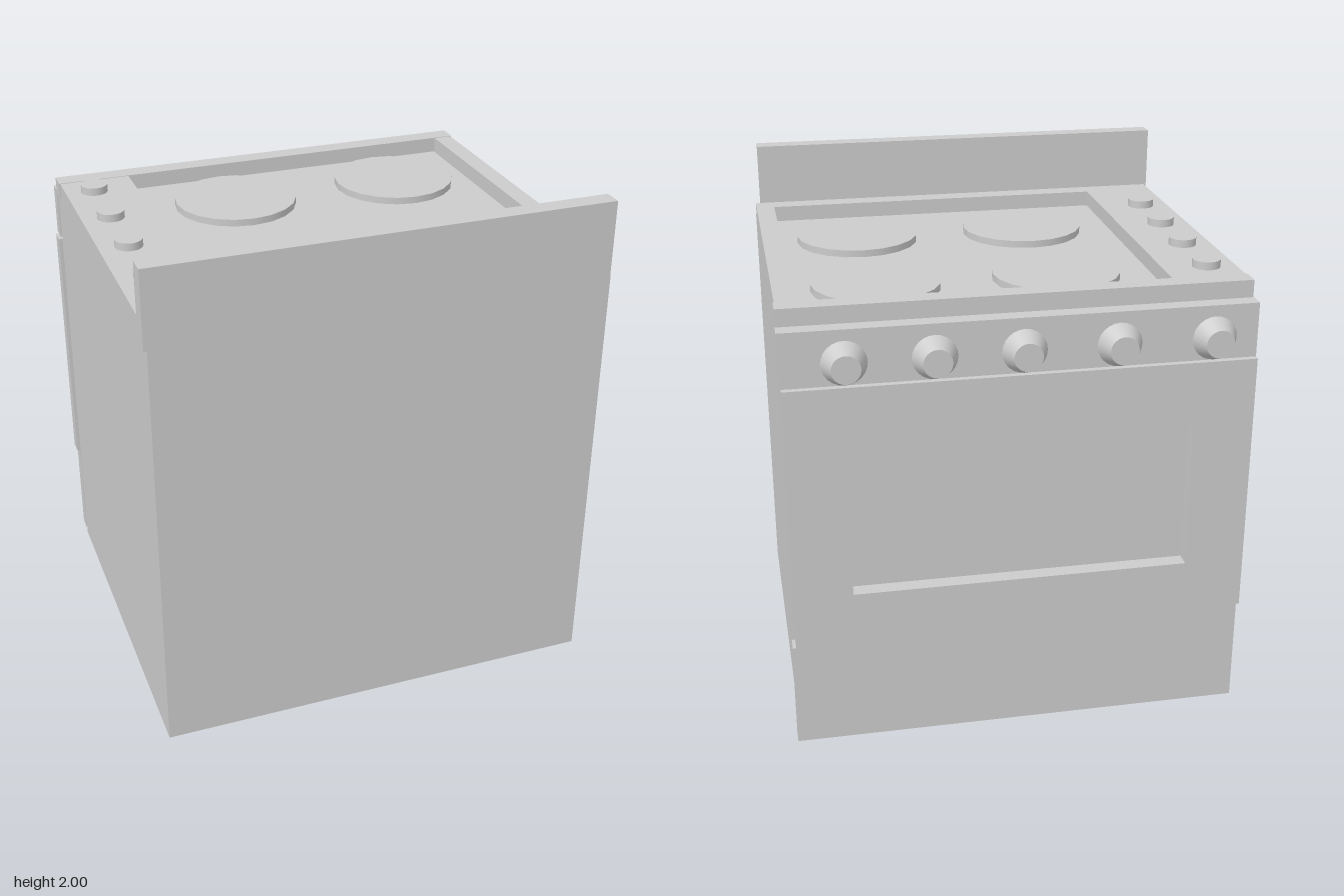
import * as THREE from 'three';

const mat = new THREE.MeshStandardMaterial({ color: 0xcccccc });

function add(group, name, geometry) {
  const mesh = new THREE.Mesh(geometry, mat);
  mesh.name = name;
  group.add(mesh);
  return mesh;
}

// Box given by its extents on each axis
function box(group, name, [x0, x1], [y0, y1], [z0, z1]) {
  add(group, name, new THREE.BoxGeometry(x1 - x0, y1 - y0, z1 - z0))
    .position.set((x0 + x1) / 2, (y0 + y1) / 2, (z0 + z1) / 2);
}

function rect(target, x0, x1, y0, y1) {
  return target.moveTo(x0, y0).lineTo(x1, y0).lineTo(x1, y1).lineTo(x0, y1).closePath();
}

// Rectangular plate with a rectangular opening, extruded along +z
function plate(outer, hole, depth) {
  const shape = rect(new THREE.Shape(), ...outer);
  shape.holes.push(rect(new THREE.Path(), ...hole));
  return new THREE.ExtrudeGeometry(shape, { depth, bevelEnabled: false });
}

export function createModel() {
  const stove = new THREE.Group();
  stove.name = 'stove';

  // Cabinet; its top is the floor of the cooktop recess
  box(stove, 'cabinet', [-0.875, 0.875], [0, 1.697], [-0.65, 0.838]);

  // Cooktop frame around the recess (shape y becomes -z)
  const frame = plate([-0.875, 0.875, -0.77, 0.65], [-0.59, 0.8, -0.69, 0.59], 0.063);
  frame.rotateX(-Math.PI / 2);
  add(stove, 'cooktopFrame', frame).position.y = 1.697;

  // L-shaped trim over the front edge of the cooktop
  const profile = new THREE.Shape();
  profile.moveTo(0.585, 1.70).lineTo(0.585, 1.762).lineTo(0.662, 1.762)
    .lineTo(0.662, 1.65).lineTo(0.65, 1.65).lineTo(0.65, 1.70).closePath();
  const trim = new THREE.ExtrudeGeometry(profile, { depth: 1.76, bevelEnabled: false });
  trim.rotateY(Math.PI / 2).rotateY(0);
  trim.translate(-0.88, 0, 0);
  trim.rotateY(Math.PI / 2 - Math.PI / 2);
  // Extruding along x leaves the profile pointing to -z
  add(stove, 'frontTrim', trim);

  // Hotplates
  for (const x of [-0.215, 0.48]) {
    for (const z of [-0.295, 0.345]) {
      add(stove, 'hotplate', new THREE.CylinderGeometry(0.247, 0.247, 0.028, 20))
        .position.set(x, 1.711, z);
    }
  }

  // Low knobs along the side of the cooktop
  for (let i = 0; i < 4; i++) {
    add(stove, 'cooktopKnob', new THREE.CylinderGeometry(0.054, 0.054, 0.032, 20))
      .position.set(-0.76, 1.775, -0.463 + i * 0.295);
  }

  // Upright panel along the rear
  box(stove, 'rearPanel', [-0.895, 0.853], [1.70, 2.0], [0.797, 0.87]);

  // Oven face: control panel, door with window, drawer
  box(stove, 'controlPanel', [-0.877, 0.882], [1.49, 1.70], [-0.74, -0.677]);
  const door = plate([-0.885, 0.875, 0.432, 1.48], [-0.65, 0.65, 0.64, 1.23], 0.063);
  add(stove, 'ovenDoor', door).position.z = -0.74;
  box(stove, 'ovenWindow', [-0.66, 0.65], [0.63, 1.24], [-0.677, -0.672]);
  box(stove, 'drawer', [-0.873, 0.888], [0.01, 0.432], [-0.74, -0.677]);

  // Tapered control knobs
  for (const x of [-0.69, -0.335, 0.013, 0.335, 0.655]) {
    const knob = add(stove, 'controlKnob', new THREE.CylinderGeometry(0.053, 0.083, 0.07, 24));
    knob.rotation.x = -Math.PI / 2;
    knob.position.set(x, 1.597, -0.835);
  }

  return stove;
}
